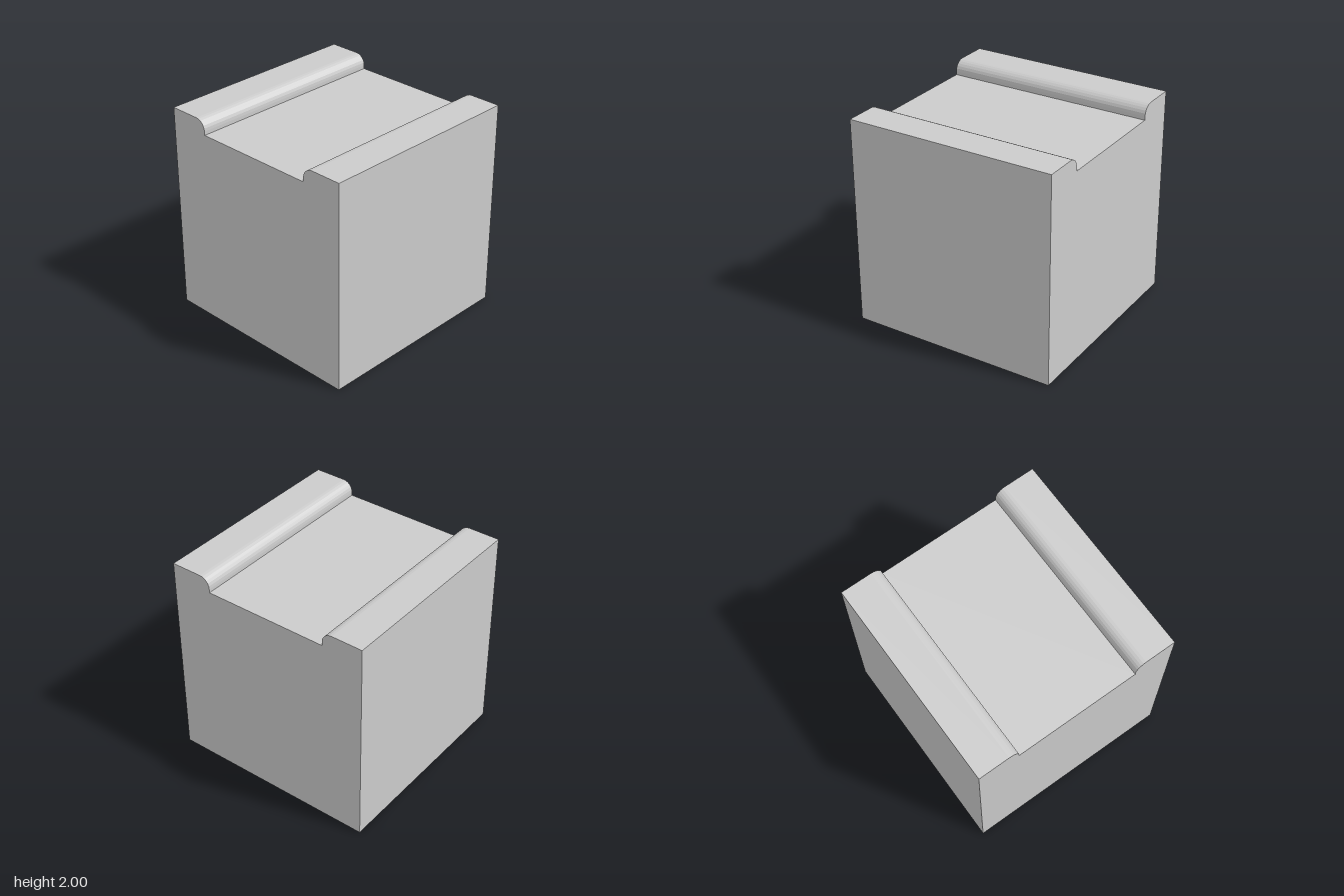
import * as THREE from 'three';

export function createModel() {
  const group = new THREE.Group();
  const material = new THREE.MeshStandardMaterial({ color: 0xcccccc, flatShading: true });

  const half = 1, height = 2;      // outer block
  const floor = 1.865;             // bottom of the channel
  const channel = 0.6;             // half width of the channel
  const r = 0.1;                   // rounding of the channel lips

  // Front profile: a square with a shallow channel between two rounded lips
  const profile = new THREE.Shape();
  profile.moveTo(-half, 0);
  profile.lineTo(half, 0);
  profile.lineTo(half, height);
  profile.lineTo(channel + r, height);
  profile.absarc(channel + r, height - r, r, Math.PI / 2, Math.PI, false);
  profile.lineTo(channel, floor);
  profile.lineTo(-channel, floor);
  profile.lineTo(-channel, height - r);
  profile.absarc(-channel - r, height - r, r, 0, Math.PI / 2, false);
  profile.lineTo(-half, height);
  profile.closePath();

  // Run the profile from back to front
  const geometry = new THREE.ExtrudeGeometry(profile, {
    depth: 2 * half, bevelEnabled: false, curveSegments: 3,
  });
  geometry.translate(0, 0, -half);

  const block = new THREE.Mesh(geometry, material);
  block.name = 'channelledBlock';
  group.add(block);
  return group;
}
